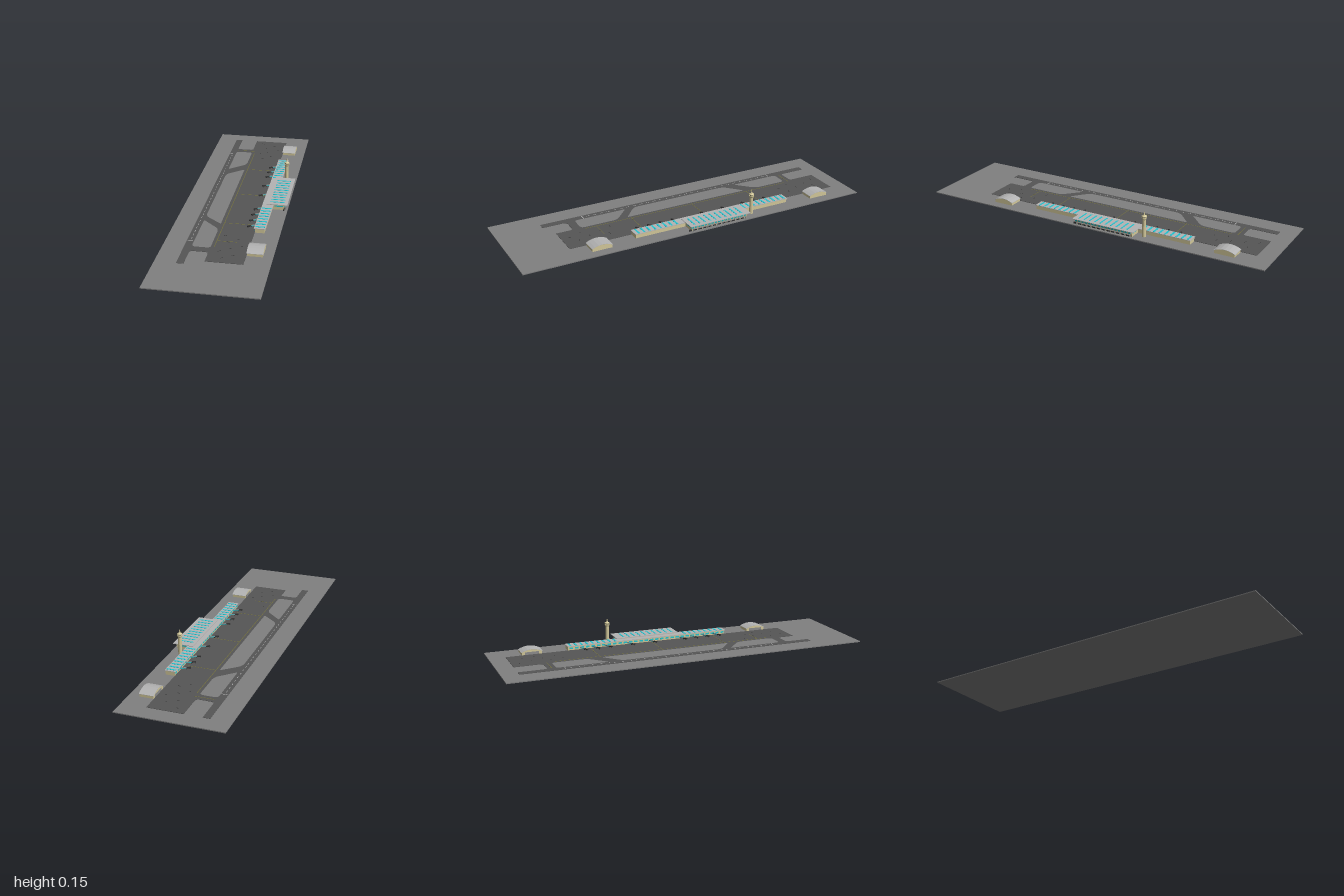
import * as THREE from 'three';

const mat = (color, side = THREE.FrontSide) => new THREE.MeshStandardMaterial({ color, side, flatShading: true });
const M = {
  ground: mat(0x808080), tarmac: mat(0x565656), dark: mat(0x333333), roof: mat(0xb4b4b4),
  trim: mat(0x8c8c8c), tan: mat(0xd2c89a), cyan: mat(0x22c4d0), yellow: mat(0x77733a), white: mat(0xbbbbbb),
};

export function createModel() {
  const root = new THREE.Group();
  const add = (name, geo, material, parent = root) => {
    const mesh = new THREE.Mesh(geo, material);
    mesh.name = name;
    parent.add(mesh);
    return mesh;
  };
  // Box given by its limits on each axis
  const box = (name, m, x0, x1, y0, y1, z0, z1, parent) => {
    const mesh = add(name, new THREE.BoxGeometry(x1 - x0, y1 - y0, z1 - z0), m, parent);
    mesh.position.set((x0 + x1) / 2, (y0 + y1) / 2, (z0 + z1) / 2);
    return mesh;
  };
  const group = (name) => {
    const g = new THREE.Group();
    g.name = name;
    root.add(g);
    return g;
  };
  // Plan outline [x, z, cornerRadius] with rounded corners
  const outline = (pts, path) => {
    const v = pts.map(([x, z]) => new THREE.Vector2(x, -z));
    v.forEach((p, i) => {
      const r = pts[i][2] || 0;
      const toward = (q) => p.clone().add(q.clone().sub(p).setLength(r));
      const a = toward(v[(i + v.length - 1) % v.length]);
      const b = toward(v[(i + 1) % v.length]);
      if (i) path.lineTo(a.x, a.y); else path.moveTo(a.x, a.y);
      if (r) path.quadraticCurveTo(p.x, p.y, b.x, b.y);
    });
    path.closePath();
    return path;
  };

  // Base slab
  box('ground', M.ground, -0.281, 0.281, 0, 0.005, -1, 1);

  // Runway, taxiways and apron as one pavement with open islands
  const L = -0.135, R = -0.04, c = 0.02;
  const pavement = outline([
    [-0.172, -0.91], [L, -0.91], [L, -0.757, c], [R, -0.757, c], [R, -0.91], [0.15, -0.91],
    [0.15, 0.705], [R, 0.705], [R, 0.61, c], [L, 0.61, c], [L, 0.745], [-0.172, 0.745],
  ], new THREE.Shape());
  pavement.holes = [
    [[L, -0.712, c], [R, -0.712, c], [R, -0.52, 0.03], [L, -0.43, 0.012]],
    [[L, -0.355, 0.03], [R, -0.44, 0.012], [R, 0.295, 0.012], [L, 0.215, 0.03]],
    [[L, 0.265, 0.012], [R, 0.355, 0.03], [R, 0.565, c], [L, 0.565, c]],
  ].map((p) => outline(p, new THREE.Path()));
  const paveGeo = new THREE.ExtrudeGeometry(pavement, { depth: 0.002, bevelEnabled: false, curveSegments: 8 });
  paveGeo.rotateX(-Math.PI / 2);
  add('pavement', paveGeo, M.tarmac).position.y = 0.005;

  // Painted lines
  const lines = group('markings');
  const paint = (name, m, x0, x1, z0, z1) => box(name, m, x0, x1, 0.0068, 0.0073, z0, z1, lines);
  for (let z = -0.65; z < 0.5; z += 0.04) paint('runwayDash', M.white, -0.155, -0.1525, z, z + 0.018);
  for (const z of [-0.67, 0.51]) paint('runwayThreshold', M.white, -0.168, -0.138, z - 0.002, z + 0.002);
  paint('taxiLine', M.yellow, -0.024, -0.021, -0.7, 0.55);
  paint('taxiLine', M.yellow, -0.13, -0.024, -0.736, -0.733);
  for (const z of [-0.445, -0.09, 0.28, 0.485]) paint('standLine', M.yellow, -0.02, z > 0.4 ? 0.08 : 0.14, z - 0.0015, z + 0.0015);
  for (let i = 0; i < 8; i++) {
    for (const z0 of [-0.87, 0.42]) {
      const dash = paint('standMark', M.dark, 0, 0.016, z0 + i * 0.034, z0 + i * 0.034 + 0.003);
      dash.position.x = 0.01 + ((i * 3) % 5) * 0.025;
      dash.rotation.y = i % 2 ? 0.5 : -0.3;
    }
  }

  // Long concourse with roof lights
  const hall = group('concourse');
  box('concourseWalls', M.tan, 0.15, 0.2, 0.005, 0.027, -0.57, 0.36, hall);
  box('concourseRoof', M.roof, 0.145, 0.205, 0.027, 0.03, -0.573, 0.363, hall);
  for (let i = 0; i < 29; i++) {
    const z = -0.555 + i * 0.032;
    if (z < -0.29 || z > 0.085) box('roofLight', M.cyan, 0.15, 0.2, 0.0295, 0.0312, z - 0.005, z + 0.005, hall);
  }
  for (let i = 0; i < 30; i++) {
    const z = -0.553 + i * 0.031;
    box('concourseWindow', M.cyan, 0.1492, 0.1505, 0.013, 0.022, z - 0.01, z + 0.01, hall);
  }

  // Main terminal: leaning front wall, windows and overhanging roof
  const term = group('terminal');
  const section = new THREE.Shape([[0.185, 0.005], [0.262, 0.005], [0.27, 0.036], [0.185, 0.036]]
    .map(([x, y]) => new THREE.Vector2(x, y)));
  const body = add('terminalWalls', new THREE.ExtrudeGeometry(section, { depth: 0.34, bevelEnabled: false }), M.tan, term);
  body.position.z = -0.272;
  box('terminalRoof', M.roof, 0.168, 0.281, 0.036, 0.039, -0.286, 0.079, term);
  for (let i = 0; i < 10; i++) {
    const z = -0.24 + i * 0.032;
    box('terminalRoofLight', M.cyan, 0.185, 0.262, 0.0385, 0.0402, z - 0.004, z + 0.004, term);
  }
  for (let i = 0; i < 17; i++) {
    const z = -0.264 + i * 0.02;
    const pane = box('frontWindow', M.cyan, 0.2655, 0.2685, 0.021, 0.033, z, z + 0.013, term);
    pane.rotation.z = -0.25;
  }
  box('entranceCanopy', M.trim, 0.255, 0.272, 0.016, 0.0185, -0.265, 0.06, term);
  for (let i = 0; i < 12; i++) {
    const z = -0.26 + i * 0.029;
    box('canopyPost', M.trim, 0.268, 0.271, 0.005, 0.016, z - 0.0015, z + 0.0015, term);
    box('entranceDoor', M.dark, 0.26, 0.2645, 0.005, 0.014, z + 0.005, z + 0.023, term);
  }
  for (const z of [-0.272, 0.068]) box('endWindow', M.cyan, 0.21, 0.256, 0.022, 0.028, z - 0.001, z + 0.001, term);

  // Hangars with arched roofs running across x
  const arch = [[-0.058, 0.021], [-0.042, 0.028], [-0.022, 0.034], [0, 0.036], [0.022, 0.034], [0.042, 0.028], [0.058, 0.021]];
  const toShape = (pts) => new THREE.Shape(pts.map(([x, y]) => new THREE.Vector2(x, y)));
  const roofPts = [...arch, ...arch.slice().reverse().map(([z, y]) => [z, y - 0.0015])];
  for (const [z, x1] of [[-0.768, 0.228], [0.56, 0.233]]) {
    const g = group('hangar');
    const w = x1 - 0.15;
    const wallPts = [[-0.055, 0.005], ...arch.map(([a, y]) => [a * 0.95, y - 0.001]), [0.055, 0.005]];
    add('hangarWalls', new THREE.ExtrudeGeometry(toShape(wallPts), { depth: w - 0.004, bevelEnabled: false }), M.tan, g).position.z = 0.002;
    add('hangarRoof', new THREE.ExtrudeGeometry(toShape(roofPts), { depth: w, bevelEnabled: false }), M.roof, g);
    box('hangarDoor', M.trim, -0.038, 0.038, 0.005, 0.021, 0.001, 0.003, g);
    g.rotation.y = Math.PI / 2;
    g.position.set(0.15, 0, z);
  }

  // Control tower, turned from profiles
  const tower = group('controlTower');
  tower.position.set(0.226, 0, -0.322);
  const lathe = (name, m, pts) => add(name, new THREE.LatheGeometry(pts.map(([r, y]) => new THREE.Vector2(r, y)), 16), m, tower);
  lathe('towerShaft', M.tan, [[0.0105, 0.005], [0.0098, 0.1], [0.0125, 0.106], [0.0125, 0.11], [0, 0.11]]);
  lathe('towerWindows', M.dark, [[0.011, 0.109], [0.0115, 0.118]]);
  lathe('towerRoof', M.tan, [[0, 0.1165], [0.0135, 0.1165], [0.0135, 0.12], [0.008, 0.123], [0.0045, 0.125],
    [0.004, 0.129], [0.0025, 0.131], [0.0018, 0.14], [0, 0.148]]);
  lathe('towerRail', M.tan, [[0.0095, 0.1105], [0.0138, 0.1105], [0.0138, 0.1125], [0.0095, 0.1125]]);
  for (let i = 0; i < 12; i++) {
    const a = (i / 12) * Math.PI * 2;
    const post = box('windowPost', M.tan, -0.0008, 0.0008, 0.112, 0.117, -0.0008, 0.0008, tower);
    post.position.x = Math.cos(a) * 0.0122;
    post.position.z = Math.sin(a) * 0.0122;
  }

  // Boarding bridges angled out from the concourse
  for (const z of [-0.5, -0.43, -0.36, -0.23, -0.1, 0.08, 0.15, 0.22, 0.29]) {
    const g = group('boardingBridge');
    box('bridgeTunnel', M.cyan, -0.032, 0.002, 0.0125, 0.0165, -0.003, 0.003, g);
    box('bridgeRoof', M.trim, -0.033, 0.002, 0.0165, 0.0175, -0.0035, 0.0035, g);
    box('bridgeHead', M.dark, -0.054, -0.032, 0.0125, 0.0175, -0.0045, 0.0045, g);
    for (const x of [-0.049, -0.03]) box('bridgeLeg', M.dark, x - 0.0013, x + 0.0013, 0.006, 0.013, -0.002, 0.002, g);
    g.position.set(0.15, 0, z);
    g.rotation.y = 0.5;
  }
  return root;
}
